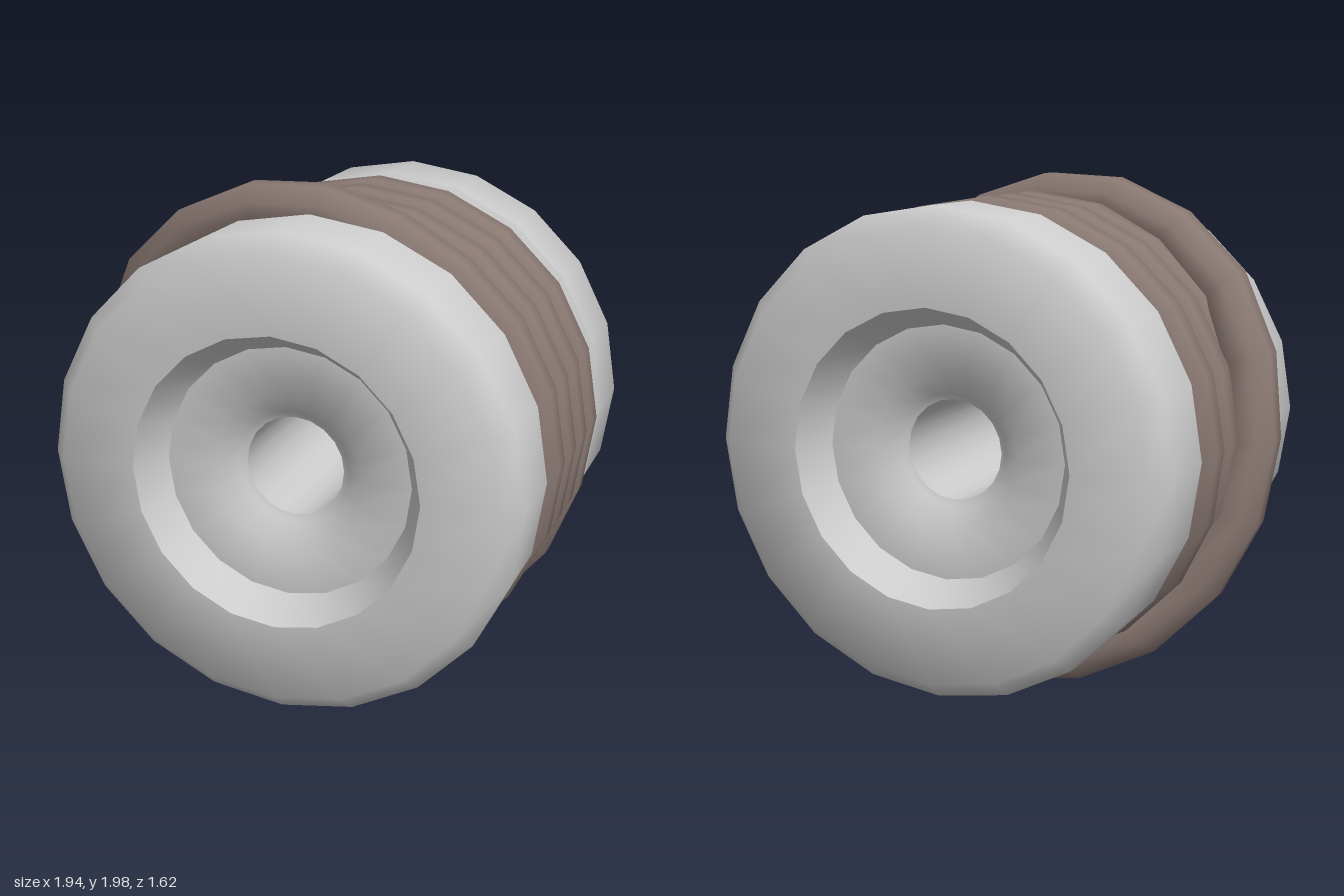
import * as THREE from 'three';
import { toCreasedNormals } from 'three/addons/utils/BufferGeometryUtils.js';

const SIDES = 20;

// Linear interpolation through [angle, value] keys
function sample(keys, t) {
  for (let i = 1; i < keys.length; i++) {
    const [a, va] = keys[i - 1], [b, vb] = keys[i];
    if (t <= b) return va + ((vb - va) * (t - a)) / (b - a);
  }
  return keys[keys.length - 1][1];
}

// Spool: two bevelled flanges, a core, recessed end faces and a through hole
function spoolGeometry() {
  const half = [
    [0.73, 0], [0.73, 0.34], [0.895, 0.44], [0.895, 0.74], [0.83, 0.81],
    [0.545, 0.81], [0.47, 0.67], [0.285, 0.67], [0.21, 0.6], [0.188, 0.59],
  ];
  const mirrored = half.slice(1).reverse().map(([r, z]) => [r, -z]);
  // Runs up the outside, down through the hole and back to the start
  const loop = [...mirrored, ...half, mirrored[0]];
  const geo = new THREE.LatheGeometry(loop.map(([r, z]) => new THREE.Vector2(r, z)), SIDES);
  geo.rotateX(Math.PI / 2);
  return toCreasedNormals(geo, 0.83);
}

// Rope: three snug turns, then one raised turn crossing back to the start
function ropeGeometry() {
  const TURNS = 4, PITCH = 0.183, APOTHEM = 0.103, FACETS = 8;
  const corner = APOTHEM / Math.cos(Math.PI / FACETS);
  const rise = [[0, 0], [90, 0.02], [180, 0.05], [270, 0.17], [360, PITCH]];
  const crossZ = [[0, 0.248], [90, 0.268], [115, 0.235], [140, 0.18], [160, 0.12], [180, 0.055],
    [270, -0.145], [310, -0.225], [360, -0.3]];
  const crossR = [[0, 0.905], [66, 0.905], [81, 0.953], [99, 0.988], [115, 1.02], [145, 1.045],
    [180, 1.033], [235, 1.037], [267, 1.017], [284, 0.994], [303, 0.958], [322, 0.937], [345, 0.905], [360, 0.905]];
  const pos = [], index = [], rings = TURNS * SIDES;

  for (let i = 0; i < rings; i++) {
    const turn = Math.floor(i / SIDES), deg = ((i % SIDES) * 360) / SIDES;
    const crossing = turn === TURNS - 1;
    const z = crossing ? sample(crossZ, deg) : -0.3 + turn * PITCH + sample(rise, deg);
    const r = (crossing ? sample(crossR, deg) : 0.905) - APOTHEM;
    const th = THREE.MathUtils.degToRad(deg);
    for (let j = 0; j < FACETS; j++) {
      const a = ((j + 0.5) / FACETS) * Math.PI * 2;
      const rr = r + corner * Math.cos(a);
      pos.push(rr * Math.cos(th), rr * Math.sin(th), z + corner * Math.sin(a));
      const k = (j + 1) % FACETS, p = i * FACETS, q = ((i + 1) % rings) * FACETS;
      index.push(p + j, q + j, p + k, p + k, q + j, q + k);
    }
  }
  const geo = new THREE.BufferGeometry();
  geo.setAttribute('position', new THREE.Float32BufferAttribute(pos, 3));
  geo.setIndex(index);
  geo.computeVertexNormals();
  return geo;
}

export function createModel() {
  const group = new THREE.Group();
  const add = (name, geo, color) => {
    const mesh = new THREE.Mesh(geo, new THREE.MeshStandardMaterial({ color }));
    mesh.name = name;
    mesh.position.set(0.06, 1.025, 0);
    group.add(mesh);
  };
  add('spool', spoolGeometry(), 0xcccccc);
  add('woundRope', ropeGeometry(), 0x897872);
  return group;
}
